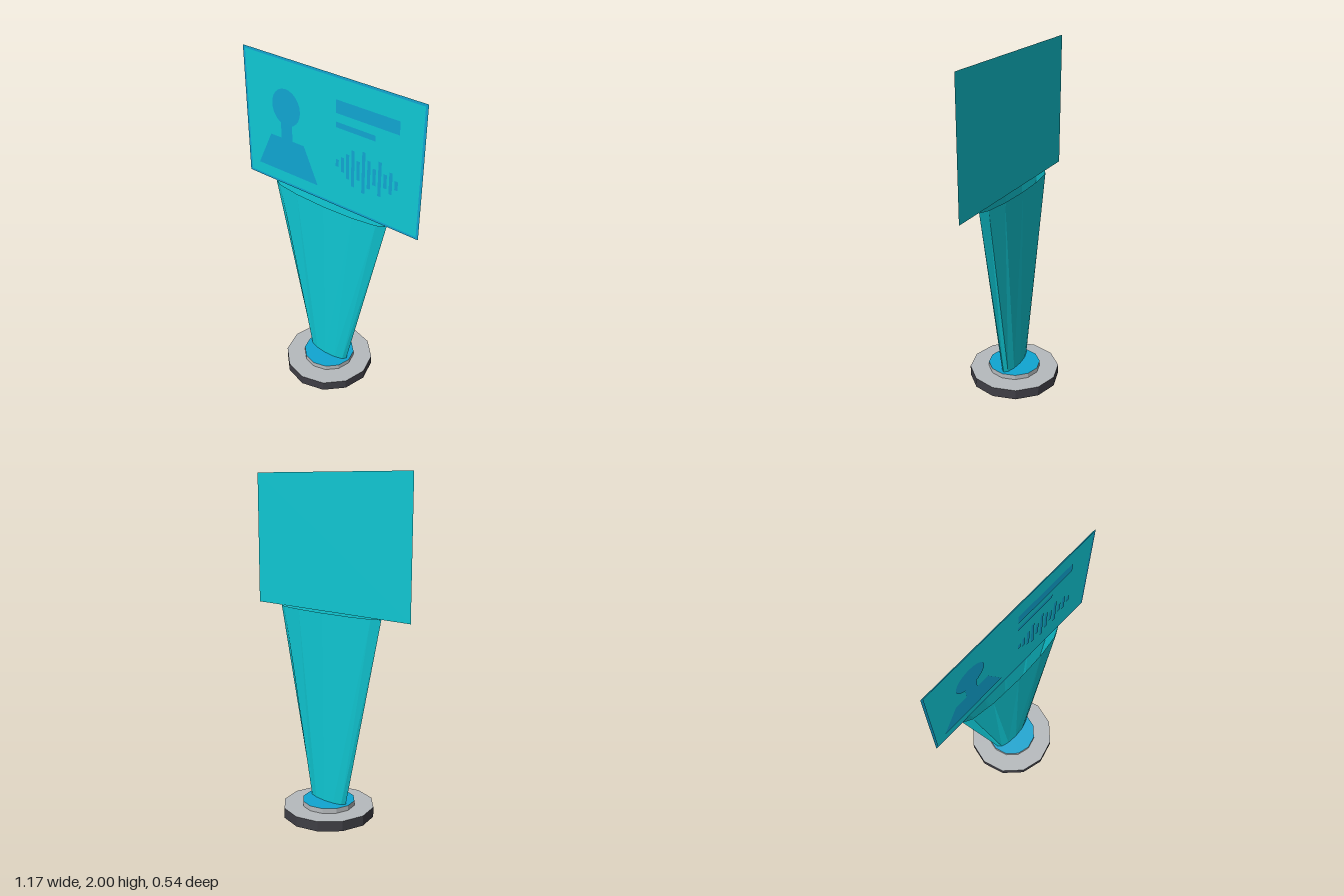
import * as THREE from 'three';

export function createModel() {
  const model = new THREE.Group();
  model.name = 'hologramProjector';

  const material = (name, color, extra = {}) => {
    const m = new THREE.MeshStandardMaterial({ color, flatShading: true, ...extra });
    m.name = name;
    return m;
  };
  const teal = material('hologram teal', 0x0fc8d4, { side: THREE.DoubleSide });
  const blue = material('projection blue', 0x10a6d2);
  const grey = material('light grey metal', 0xb6babd);
  const dark = material('dark casing', 0x3f3e45);

  const add = (name, geometry, mat, y = 0, z = 0, parent = model) => {
    const mesh = new THREE.Mesh(geometry, mat);
    mesh.name = name;
    mesh.position.set(0, y, z);
    parent.add(mesh);
    return mesh;
  };

  // Twelve-sided base with a raised emitter: side, top and bottom materials
  add('base', new THREE.CylinderGeometry(0.272, 0.272, 0.06, 12), [dark, grey, dark], 0.03);
  add('emitter', new THREE.CylinderGeometry(0.157, 0.157, 0.03, 12), [grey, blue, grey], 0.075);

  // Open beam: a flattened cone whose ellipse widens towards the screen
  const bottom = 0.09, top = 1.222;
  const beam = new THREE.CylinderGeometry(1, 1, 1, 12, 1, true);
  const p = beam.attributes.position;
  for (let i = 0; i < p.count; i++) {
    const t = p.getY(i) + 0.5;
    p.setXYZ(i,
      p.getX(i) * THREE.MathUtils.lerp(0.137, 0.388, t),
      THREE.MathUtils.lerp(bottom, top, t),
      p.getZ(i) * THREE.MathUtils.lerp(0.041, 0.056, t));
  }
  beam.computeVertexNormals();
  add('lightBeam', beam, teal);

  // Flat screen
  const screen = new THREE.Group();
  screen.name = 'screen';
  model.add(screen);
  const halfW = 0.585, halfH = (2 - top) / 2, midY = (2 + top) / 2;
  add('screenPanel', new THREE.PlaneGeometry(halfW * 2, halfH * 2), teal, midY, 0, screen);

  const polygon = (points) => new THREE.Shape(points.map(([x, y]) => new THREE.Vector2(x, y)));
  const rect = (x0, y0, x1, y1) => polygon([[x0, y0], [x1, y0], [x1, y1], [x0, y1]]);
  const print = (name, shape) =>
    add(name, new THREE.ShapeGeometry(shape, 12), blue, 0, 0.002, screen);

  // Border, on the front only
  const rim = 0.014;
  const border = rect(-halfW, top, halfW, 2);
  border.holes.push(rect(-halfW + rim, top + rim, halfW - rim, 2 - rim));
  print('screenBorder', border);

  // Portrait silhouette
  const head = new THREE.Shape();
  head.absellipse(-0.294, 1.713, 0.098, 0.11, 0, Math.PI * 2);
  print('portraitHead', head);
  print('portraitNeck', rect(-0.334, 1.518, -0.255, 1.615));
  print('portraitShoulders', polygon([[-0.51, 1.302], [-0.08, 1.302], [-0.175, 1.518], [-0.41, 1.518]]));

  // Caption bars
  print('captionBarLarge', rect(0.046, 1.79, 0.438, 1.866));
  print('captionBarSmall', rect(0.046, 1.708, 0.296, 1.74));

  // Sound wave
  const halfHeights = [0.022, 0.045, 0.075, 0.11, 0.058, 0.126, 0.085, 0.05, 0.104, 0.042, 0.065, 0.027];
  halfHeights.forEach((h, i) => {
    const x = 0.056 + i * 0.0343;
    print('soundWaveBar', rect(x - 0.01, 1.496 - h, x + 0.01, 1.496 + h));
  });

  return model;
}
